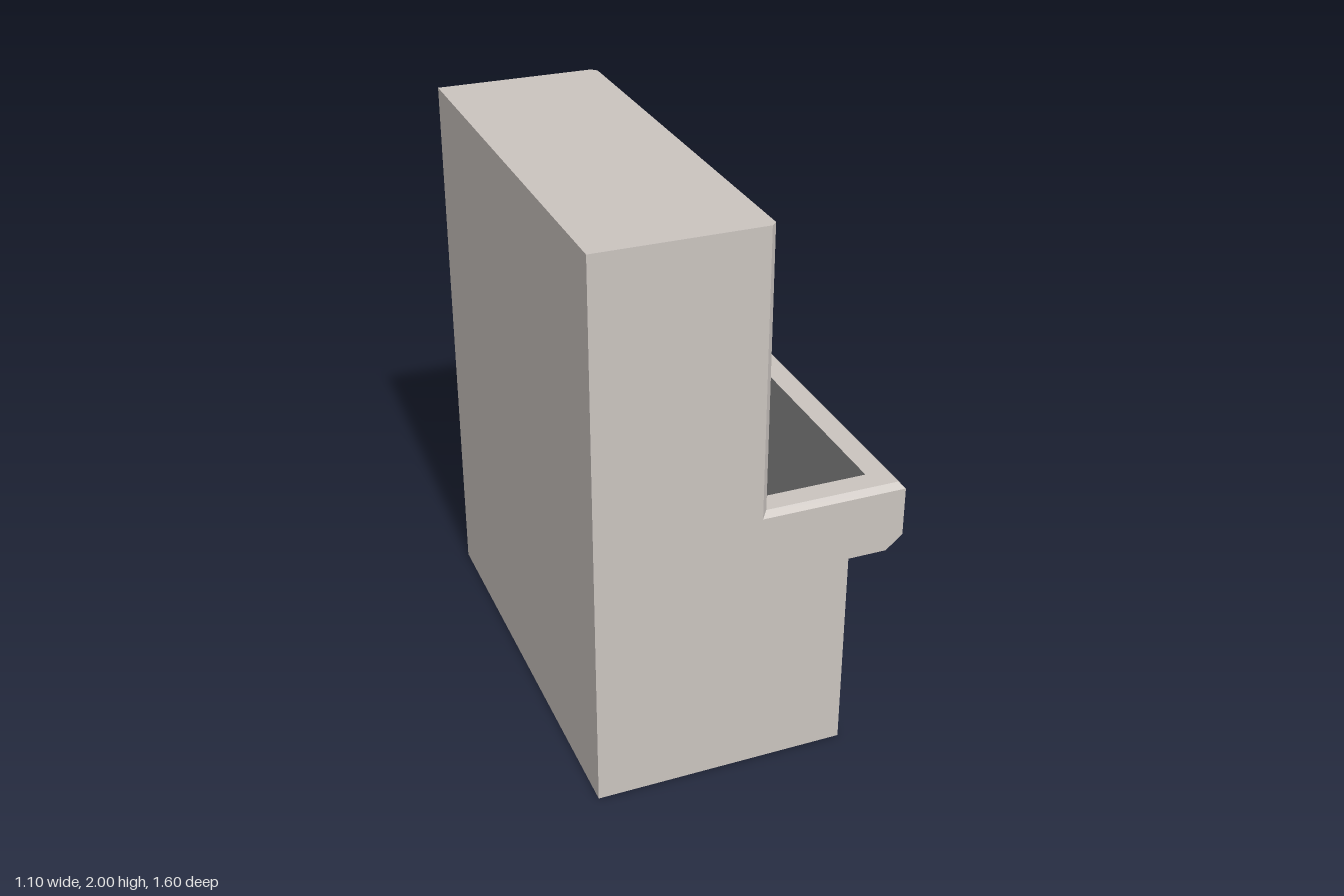
import * as THREE from 'three';

const mat = (color, side = THREE.FrontSide) => new THREE.MeshStandardMaterial({ color, side });
const casing = mat(0xcac4bf), dark = mat(0x555555, THREE.DoubleSide);
const blue = mat(0x0ea0cc), red = mat(0xcc3311), grey = mat(0xcccccc);

function add(parent, name, geometry, material, x = 0, y = 0, z = 0) {
  const mesh = new THREE.Mesh(geometry, material);
  mesh.name = name;
  mesh.position.set(x, y, z);
  parent.add(mesh);
  return mesh;
}

// Joins x-y sections (counter-clockwise) placed at falling z; skip(section, edge) leaves openings
function loft(sections, closed, skip = () => false) {
  const pos = [];
  for (let s = 0; s < sections.length - 1; s++) {
    const [a, b] = [sections[s], sections[s + 1]];
    const n = a.pts.length;
    for (let i = 0; i < (closed ? n : n - 1); i++) {
      if (skip(s, i)) continue;
      const j = (i + 1) % n;
      const p0 = [...a.pts[i], a.z], p1 = [...b.pts[i], b.z];
      const q0 = [...a.pts[j], a.z], q1 = [...b.pts[j], b.z];
      pos.push(...p0, ...p1, ...q1, ...p0, ...q1, ...q0);
    }
  }
  const g = new THREE.BufferGeometry();
  g.setAttribute('position', new THREE.Float32BufferAttribute(pos, 3));
  g.computeVertexNormals();
  return g;
}

const shapeOf = pts => new THREE.Shape(pts.map(p => new THREE.Vector2(...p)));

function makeTap(leverMaterial) {
  const tap = new THREE.Group();
  tap.name = 'tap';
  // Pipe from the back wall
  const pipe = new THREE.CylinderGeometry(0.024, 0.024, 0.09, 20).rotateZ(Math.PI / 2);
  add(tap, 'tapPipe', pipe, grey, -0.055, 1.245);
  // Tapered spout
  const profile = [[0, 1.16], [0.024, 1.16], [0.026, 1.165], [0.035, 1.2], [0.039, 1.23], [0.038, 1.262], [0.034, 1.272], [0, 1.272]];
  add(tap, 'tapSpout', new THREE.LatheGeometry(profile.map(p => new THREE.Vector2(...p)), 24), grey, -0.01);
  // Flat lever with a rounded tip
  const s = new THREE.Shape();
  s.moveTo(-0.03, -0.019);
  s.lineTo(0.09, -0.019);
  s.quadraticCurveTo(0.11, -0.017, 0.11, 0);
  s.quadraticCurveTo(0.11, 0.017, 0.09, 0.019);
  s.lineTo(-0.03, 0.019);
  const lever = new THREE.ExtrudeGeometry(s, { depth: 0.006, bevelEnabled: false, curveSegments: 6 });
  add(tap, 'tapLever', lever.rotateX(-Math.PI / 2), leverMaterial, 0, 1.272);
  return tap;
}

export function createModel() {
  const model = new THREE.Group();
  model.name = 'drinkStation';

  // Casing: side profile with a chamfer along the front and counter edges
  const low = [[-0.55, 0], [0.35, 0], [0.35, 0.75], [0.49, 0.75], [0.55, 0.8], [0.55, 0.98]];
  const full = [...low, [0.53, 1], [0.45, 1], [0.05, 1], [0.05, 1.4], [0.05, 2], [-0.55, 2]];
  const end = [...low, [0.55, 0.98], [0.45, 0.98], [0.03, 0.98], [0.03, 1.4], [0.03, 2], [-0.55, 2]];
  const sections = [
    { z: 0.8, pts: end }, { z: 0.78, pts: full }, { z: 0.7, pts: full },
    { z: -0.7, pts: full }, { z: -0.78, pts: full }, { z: -0.8, pts: end },
  ];
  const opening = (s, i) => s === 2 && (i === 7 || i === 8);
  add(model, 'casing', loft(sections, true, opening), casing);

  // Flat side panels
  const outline = shapeOf(end.filter((p, i) => i !== 6));
  add(model, 'sidePanel', new THREE.ShapeGeometry(outline), casing, 0, 0, 0.8);
  const far = mat(0xcac4bf, THREE.BackSide);
  add(model, 'sidePanel', new THREE.ShapeGeometry(outline), far, 0, 0, -0.8);

  // Recess lining: sloping drip floor, back wall and ceiling, then the two end walls
  const lining = [[0.45, 1], [-0.1, 0.943], [-0.1, 1.4], [0.05, 1.4]];
  add(model, 'recessLining', loft([{ z: 0.7, pts: lining }, { z: -0.7, pts: lining }], false), dark);
  const wall = shapeOf([...lining, [0.05, 1]]);
  for (const z of [0.7, -0.7]) add(model, 'recessEndWall', new THREE.ShapeGeometry(wall), dark, 0, 0, z);

  // Coloured front panels
  add(model, 'upperPanel', new THREE.BoxGeometry(0.006, 0.4, 1.4), blue, 0.05, 1.69);
  add(model, 'lowerPanel', new THREE.BoxGeometry(0.006, 0.608, 1.4), blue, 0.35, 0.445);

  // Row of taps
  for (const [z, m] of [[0.547, red], [0.243, blue], [-0.066, blue], [-0.435, blue]]) {
    const tap = makeTap(m);
    tap.position.z = z;
    model.add(tap);
  }
  return model;
}
